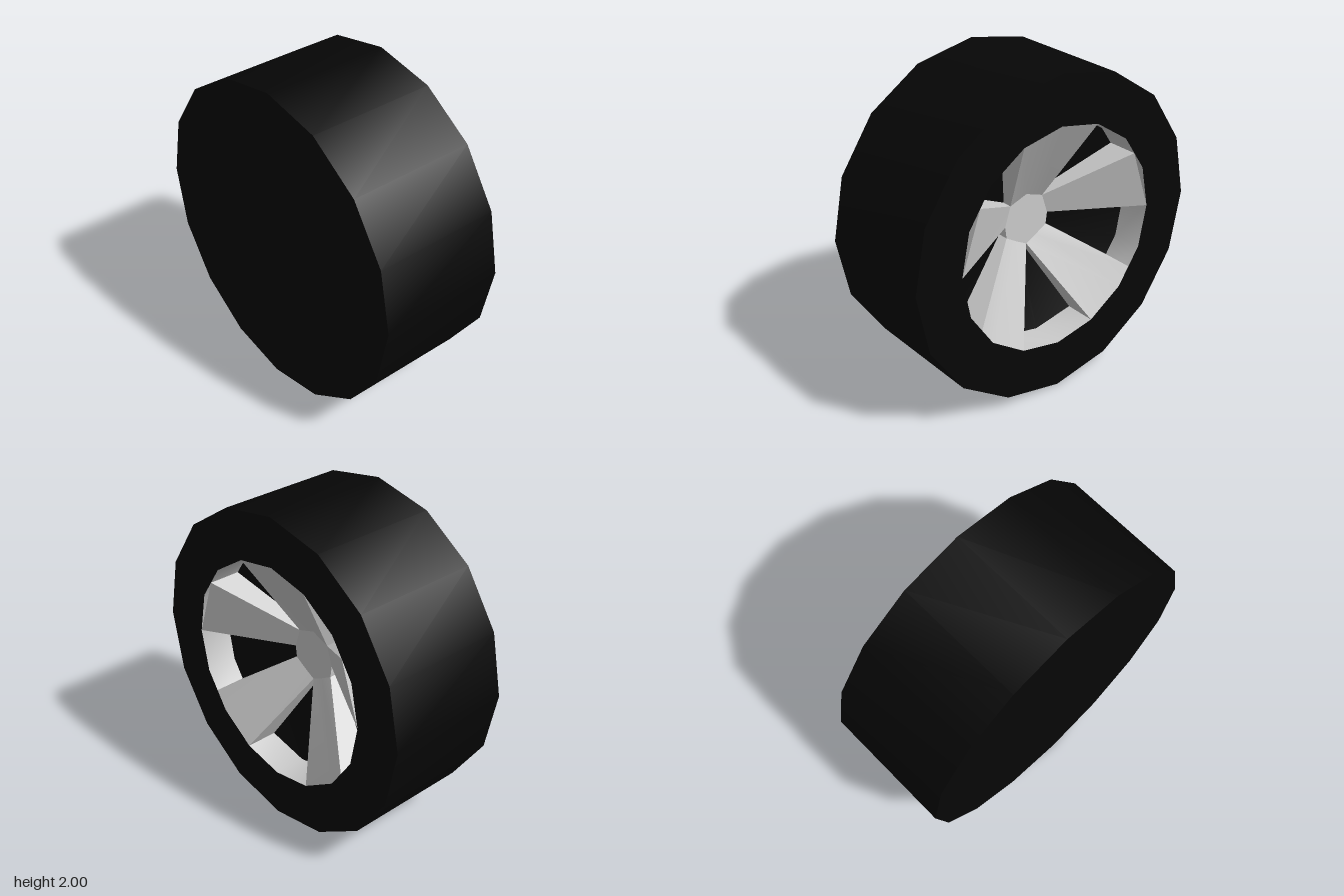
import * as THREE from 'three';
import { toCreasedNormals } from 'three/addons/utils/BufferGeometryUtils.js';

const SIDES = 16, HALF_WIDTH = 0.4, RIM_R = 0.697;
const RIM_DEPTH = 0.2;                 // depth of the barrel below the tyre face
const HUB_X = 0.1, HUB_DEPTH = 0.07;   // hub face position and thickness

const black = new THREE.MeshStandardMaterial({ color: 0x060606 });
const grey = new THREE.MeshStandardMaterial({ color: 0xcccccc });

function addMesh(group, name, geometry, material) {
  const mesh = new THREE.Mesh(toCreasedNormals(geometry, 0.5), material);
  mesh.name = name;
  group.add(mesh);
}

// Profile of [radius, x] turned about the x axle
function turned(profile) {
  const pts = profile.map(([r, x]) => new THREE.Vector2(r, x));
  return new THREE.LatheGeometry(pts, SIDES).rotateZ(-Math.PI / 2);
}

// Point on the 16-sided rim edge; half-step angles fall in the middle of a side
function rimPoint(deg) {
  const step = 360 / SIDES;
  const off = Math.abs(deg / step - Math.round(deg / step)) > 0.25;
  const r = off ? RIM_R * Math.cos(Math.PI / SIDES) : RIM_R;
  const a = THREE.MathUtils.degToRad(deg);
  return { u: r * Math.cos(a), y: r * Math.sin(a), x: HALF_WIDTH, depth: RIM_DEPTH };
}
const hubPoint = ([u, y]) => ({ u, y, x: HUB_X, depth: HUB_DEPTH });

// Front faces plus a wall around the loop (counter-clockwise as seen from +x)
function solid(faces, loop) {
  const pos = [];
  const put = (p, back) => pos.push(p.x - (back ? p.depth : 0), p.y, -p.u);
  for (const [a, b, c] of faces) { put(a); put(b); put(c); }
  loop.forEach((a, i) => {
    const b = loop[(i + 1) % loop.length];
    put(a); put(a, true); put(b, true);
    put(a); put(b, true); put(b);
  });
  const geo = new THREE.BufferGeometry();
  geo.setAttribute('position', new THREE.Float32BufferAttribute(pos, 3));
  geo.computeVertexNormals();
  return geo;
}

// Spoke: a strip between equally long rim and hub edges
function spoke(angles, hubEdge) {
  const outer = angles.map(rimPoint), inner = hubEdge.map(hubPoint);
  const faces = [];
  for (let i = 0; i + 1 < outer.length; i++) {
    faces.push([inner[i], outer[i], outer[i + 1]], [inner[i], outer[i + 1], inner[i + 1]]);
  }
  return solid(faces, [...outer, ...inner.reverse()]);
}

export function createModel() {
  const wheel = new THREE.Group();
  wheel.name = 'wheel';

  // Tyre with a closed, flat back
  addMesh(wheel, 'tyre', turned([[0, -HALF_WIDTH], [1, -HALF_WIDTH], [1, HALF_WIDTH], [RIM_R, HALF_WIDTH]]), black);

  // Grey barrel and the dark dish behind the spokes
  const floorX = HALF_WIDTH - RIM_DEPTH, deepX = HUB_X - HUB_DEPTH;
  addMesh(wheel, 'rimBarrel', turned([[RIM_R, HALF_WIDTH], [RIM_R, floorX]]), grey);
  addMesh(wheel, 'dishFloor', turned([[RIM_R, floorX], [0.16, deepX], [0, deepX]]), black);

  // Five spokes sloping in to the hub, mirrored front to back
  const upper = [[0.16, 0.01], [0.12, 0.135]];
  const lower = [[0, -0.15], [0.075, -0.11], [0.15, -0.065]];
  const top = [[0.12, 0.135], [0, 0.177], [-0.12, 0.135]];
  const mirror = (edge) => edge.map(([u, y]) => [-u, y]).reverse();
  const spokes = [
    [[67.5, 90, 112.5], top],
    [[0, 33.75], upper],
    [[146.25, 180], mirror(upper)],
    [[292.5, 315, 326.25], lower],
    [[213.75, 225, 247.5], mirror(lower)],
  ];
  for (const [angles, edge] of spokes) addMesh(wheel, 'spoke', spoke(angles, edge), grey);

  // Hub plate filling the middle
  const ring = [...upper, top[1], ...mirror(upper), ...mirror(lower), ...lower.slice(1)].map(hubPoint);
  const centre = hubPoint([0, 0]);
  const fan = ring.map((p, i) => [centre, p, ring[(i + 1) % ring.length]]);
  addMesh(wheel, 'hub', solid(fan, ring), grey);

  wheel.position.y = 1;
  const model = new THREE.Group();
  model.add(wheel);
  return model;
}
